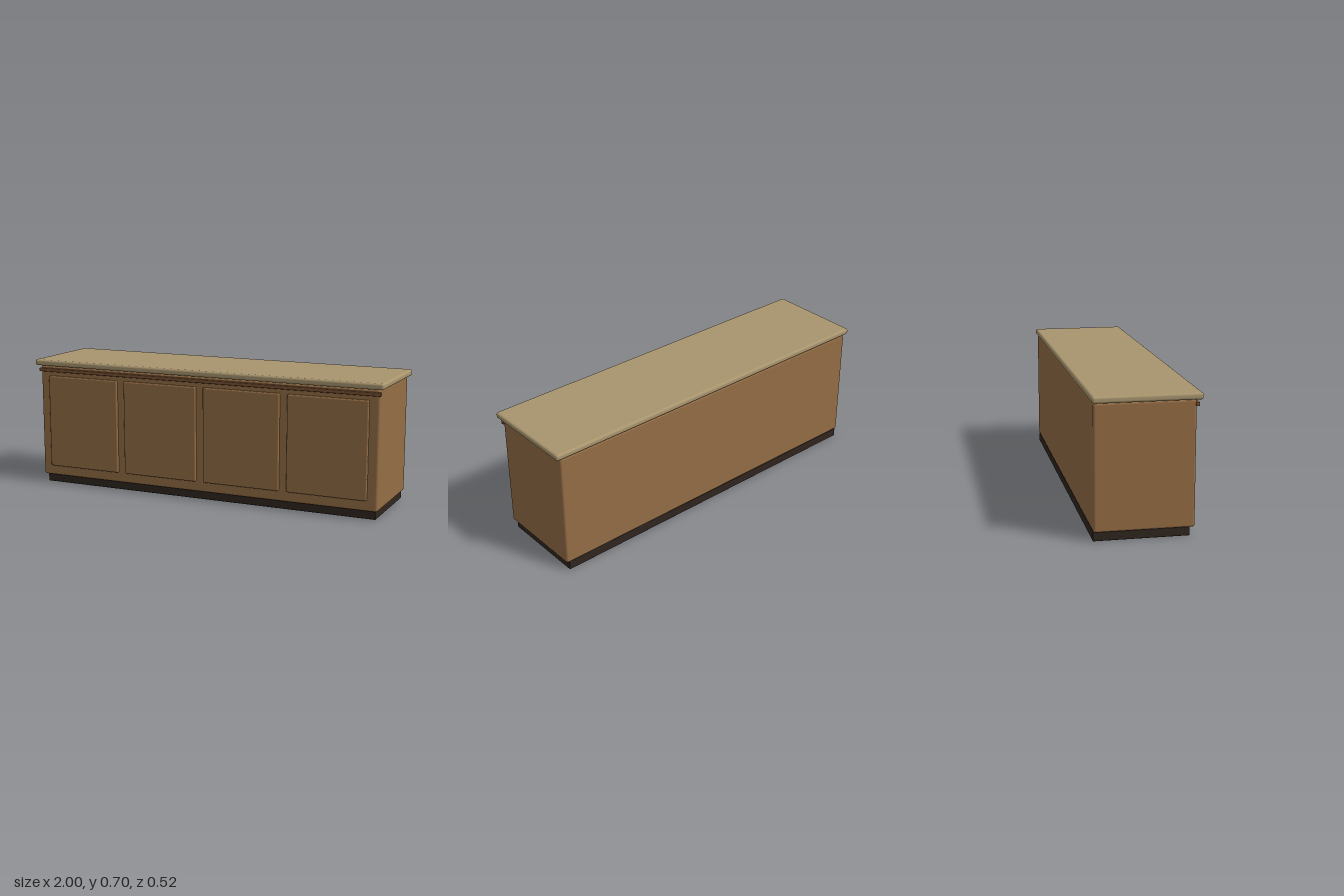
import * as THREE from 'three';
import { RoundedBoxGeometry } from 'three/addons/geometries/RoundedBoxGeometry.js';

const material = (color) => new THREE.MeshStandardMaterial({ color });

export function createModel() {
  const group = new THREE.Group();
  const wood = material(0x946d45);
  const darkWood = material(0x7a5233);
  const stone = material(0xa8956e);
  const plinth = material(0x30261f);

  // Rounded box given by its [min, max] extents on each axis
  function block(name, [x0, x1], [y0, y1], [z0, z1], radius, mat) {
    const geometry = new RoundedBoxGeometry(x1 - x0, y1 - y0, z1 - z0, 4, radius);
    const mesh = new THREE.Mesh(geometry, mat);
    mesh.name = name;
    mesh.position.set((x0 + x1) / 2, (y0 + y1) / 2, (z0 + z1) / 2);
    group.add(mesh);
  }

  // Recessed base, cabinet body and overhanging top
  block('toeKick', [-0.963, 0.963], [0, 0.049], [-0.254, 0.214], 0.004, plinth);
  block('cabinetBody', [-0.977, 0.977], [0.045, 0.666], [-0.254, 0.235], 0.012, wood);
  block('countertop', [-1, 1], [0.667, 0.7], [-0.262, 0.262], 0.012, stone);

  // Trim rail under the front of the top
  block('frontRail', [-0.982, 0.982], [0.633, 0.652], [0.229, 0.248], 0.004, darkWood);

  // Four door panels in an even row
  const pitch = 0.472, halfWidth = 0.215;
  for (let i = 0; i < 4; i++) {
    const x = (i - 1.5) * pitch;
    block(`door${i + 1}`, [x - halfWidth, x + halfWidth], [0.1, 0.61], [0.224, 0.248], 0.007, wood);
  }
  return group;
}
